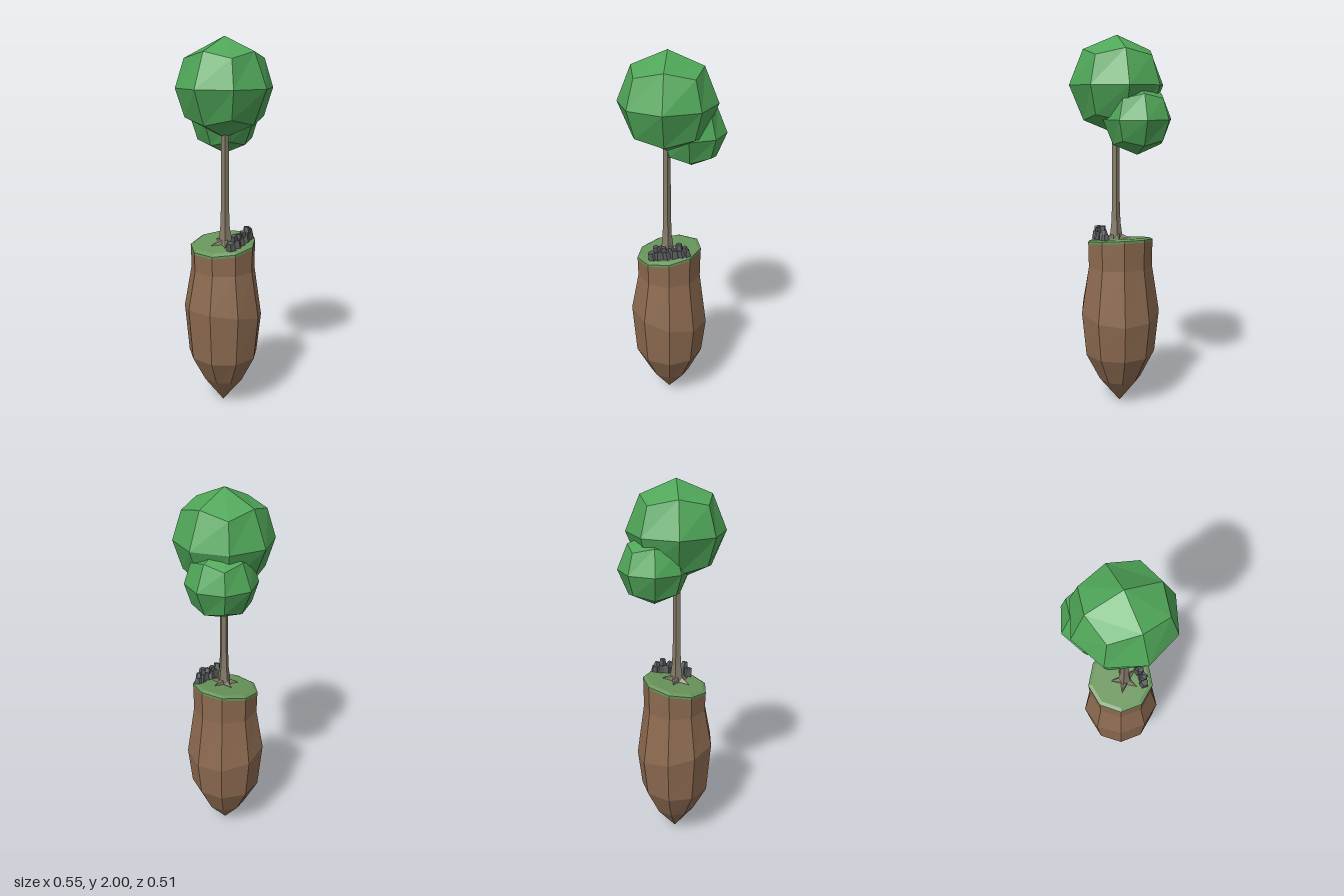
import * as THREE from 'three';

const paint = (color) => new THREE.MeshStandardMaterial({ color, flatShading: true });

function addPart(parent, name, geometry, material) {
  const mesh = new THREE.Mesh(geometry, material);
  mesh.name = name;
  parent.add(mesh);
  return mesh;
}

// Joins rings of equal length, listed bottom to top, closing each end with a fan.
function loft(rings) {
  const n = rings[0].length, points = rings.flat(), index = [];
  for (let r = 0; r < rings.length - 1; r++) {
    for (let i = 0; i < n; i++) {
      const a = r * n + i, b = r * n + (i + 1) % n;
      index.push(a, a + n, b, b, a + n, b + n);
    }
  }
  const cap = (ring, start, up) => {
    const centre = ring.reduce((s, p) => s.add(p), new THREE.Vector3()).divideScalar(n);
    const c = points.push(centre) - 1;
    for (let i = 0; i < n; i++) {
      const a = start + i, b = start + (i + 1) % n;
      index.push(c, up ? b : a, up ? a : b);
    }
  };
  cap(rings[0], 0, false);
  cap(rings[rings.length - 1], (rings.length - 1) * n, true);
  const geometry = new THREE.BufferGeometry().setFromPoints(points);
  geometry.setIndex(index);
  const flat = geometry.toNonIndexed();
  flat.computeVertexNormals();
  return flat;
}

// Height of the sloping ground
const groundY = (x) => 0.935 + 0.17 * (x + 0.02);

// Nine-sided island outline; slope tilts the ring along x
const angles = [6, 45, 84, 124, 164, 204, 244, 284, 327].map(THREE.MathUtils.degToRad);
function islandRing(y, radius, slope = 0) {
  return angles.map((a) => {
    const x = radius * Math.cos(a);
    return new THREE.Vector3(x - 0.018, y + slope * x, radius * 1.03 * Math.sin(a) - 0.012);
  });
}

// Low-poly ball: a subdivided cube pushed out to a sphere
function leafBall(radius) {
  const geometry = new THREE.BoxGeometry(1, 1, 1, 2, 2, 2);
  const p = geometry.attributes.position, v = new THREE.Vector3();
  for (let i = 0; i < p.count; i++) {
    v.fromBufferAttribute(p, i).setLength(radius);
    p.setXYZ(i, v.x, v.y, v.z);
  }
  geometry.computeVertexNormals();
  return geometry;
}

export function createModel() {
  const model = new THREE.Group();
  model.name = 'floatingIslandTree';
  const earth = paint(0x8c6a50), grass = paint(0x68955a), bark = paint(0x847a68);
  const leaf = paint(0x4fa658), stone = paint(0x58595a);

  // Earth body tapering to a point
  addPart(model, 'earth', loft([
    islandRing(0, 0.001),
    islandRing(0.145, 0.113, -0.06),
    islandRing(0.295, 0.188),
    islandRing(0.54, 0.211, -0.22),
    islandRing(0.79, 0.171),
    islandRing(0.915, 0.173, 0.17),
  ]), earth);

  // Thin grass cap
  addPart(model, 'grass', loft([
    islandRing(0.913, 0.174, 0.17),
    islandRing(0.926, 0.174, 0.17),
    islandRing(0.936, 0.155, 0.17),
  ]), grass);

  // Trunk with a star of roots spreading over the ground
  const trunkRing = (y, outer, inner, lie = false) => Array.from({ length: 10 }, (_, i) => {
    const a = -i * Math.PI / 5, r = i % 2 ? inner : outer;
    const x = -0.028 + r * Math.cos(a), z = 0.008 - r * Math.sin(a);
    return new THREE.Vector3(x, lie ? groundY(x) + y : y, z);
  });
  addPart(model, 'trunk', loft([
    trunkRing(-0.01, 0.085, 0.03, true),
    trunkRing(0.004, 0.075, 0.03, true),
    trunkRing(0.025, 0.035, 0.027, true),
    trunkRing(1.03, 0.026, 0.02),
    trunkRing(1.15, 0.022, 0.018),
    trunkRing(1.6, 0.02, 0.016),
  ]), bark);

  // Foliage
  addPart(model, 'mainFoliage', leafBall(0.252), leaf).position.set(-0.022, 1.748, 0.002);
  addPart(model, 'sideFoliage', leafBall(0.181), leaf).position.set(0.092, 1.577, -0.077);

  // Low wall of loose stones: x, height above ground, z, size, turn
  const stones = new THREE.Group();
  stones.name = 'stones';
  const layout = [
    [-0.095, 0.022, 0.095, 0.042, 0.2], [-0.06, 0.026, 0.102, 0.044, -0.2],
    [-0.02, 0.022, 0.1, 0.046, 0.15], [0.02, 0.024, 0.103, 0.042, -0.3],
    [0.056, 0.02, 0.096, 0.04, 0.25], [0.086, 0.014, 0.092, 0.034, -0.1],
    [-0.075, 0.06, 0.098, 0.032, 0.5], [-0.035, 0.052, 0.1, 0.03, -0.4],
    [0.004, 0.05, 0.1, 0.03, 0.3], [0.045, 0.06, 0.098, 0.032, -0.5],
    [0.076, 0.042, 0.096, 0.026, 0.4],
  ];
  layout.forEach(([x, h, z, size, turn]) => {
    const geometry = new THREE.CylinderGeometry(size * 0.5, size * 0.66, size, 5);
    const rock = addPart(stones, 'stone', geometry, stone);
    rock.position.set(x, groundY(x) + h, z);
    rock.rotation.set(0, turn, 0.17 + turn * 0.3);
  });
  model.add(stones);

  return model;
}
